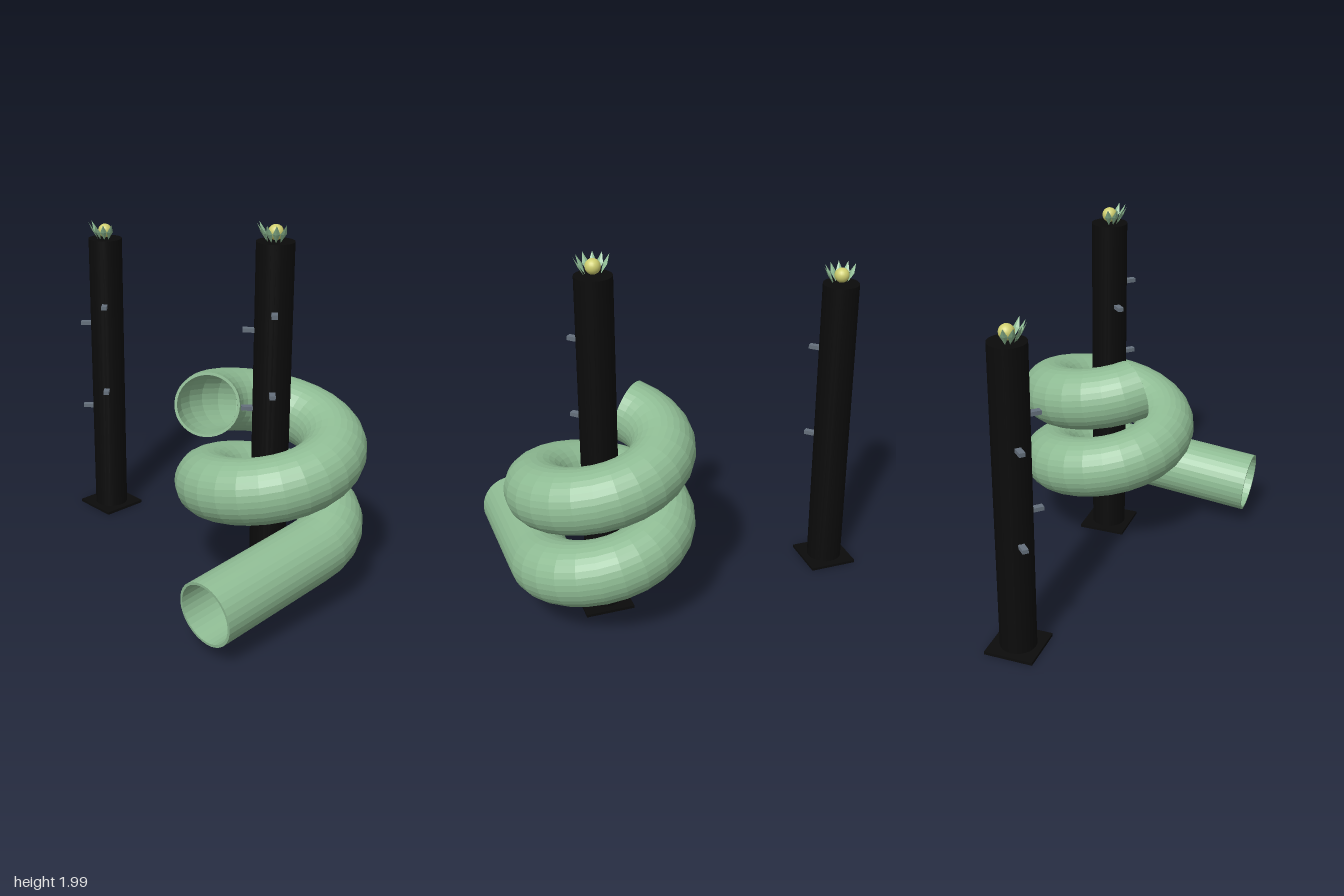
import * as THREE from 'three';

const CX = 0.15, CZ = 0.49, COIL_R = 0.336, TUBE_R = 0.172, WALL = 0.014;
const STRAIGHT = 0.795, TURN = THREE.MathUtils.degToRad(585), PITCH = 0.432;

// Straight run along the front, then a rising coil around the pole
class SlidePath extends THREE.Curve {
  getPoint(t, target = new THREE.Vector3()) {
    const s = t * (STRAIGHT + TURN * COIL_R) - STRAIGHT;
    if (s < 0) return target.set(CX + s, 0.325 + s * 0.095, CZ + COIL_R);
    const a = s / COIL_R;
    return target.set(CX + COIL_R * Math.sin(a), 0.325 + PITCH * a / (Math.PI * 2), CZ + COIL_R * Math.cos(a));
  }
}

export function createModel() {
  const green = new THREE.MeshStandardMaterial({ color: 0x8fbc94, side: THREE.DoubleSide, flatShading: true });
  green.name = 'soft green';
  const black = new THREE.MeshStandardMaterial({ color: 0x0b0b0b });
  black.name = 'black';
  const grey = new THREE.MeshStandardMaterial({ color: 0x65707c });
  grey.name = 'slate grey';
  const yellow = new THREE.MeshStandardMaterial({ color: 0xcfcf70 });
  yellow.name = 'pale yellow';

  const model = new THREE.Group();
  model.name = 'spiralSlide';
  const add = (parent, name, geometry, material, x = 0, y = 0, z = 0) => {
    const mesh = new THREE.Mesh(geometry, material);
    mesh.name = name;
    mesh.position.set(x, y, z);
    parent.add(mesh);
    return mesh;
  };

  // Hollow tube slide with a rim at each open end
  const path = new SlidePath();
  const slide = new THREE.Group();
  slide.name = 'slide';
  model.add(slide);
  add(slide, 'slideOuter', new THREE.TubeGeometry(path, 52, TUBE_R, 32), green);
  add(slide, 'slideInner', new THREE.TubeGeometry(path, 52, TUBE_R - WALL, 32), green);
  for (const t of [0, 1]) {
    const p = path.getPointAt(t);
    const rim = add(slide, 'slideRim', new THREE.RingGeometry(TUBE_R - WALL, TUBE_R, 32), green, p.x, p.y, p.z);
    rim.lookAt(p.clone().addScaledVector(path.getTangentAt(t), t ? 1 : -1));
  }

  // Pointed leaf: flattened diamond with its base at the origin
  const leafGeometry = new THREE.OctahedronGeometry(1);
  leafGeometry.scale(0.005, 0.055, 0.019);
  leafGeometry.translate(0, 0.052, 0);

  // Pole with foot plate, step pegs and a flower on top; pegs are [height, side of z]
  const addPole = (name, z, height, pegs) => {
    const pole = new THREE.Group();
    pole.name = name;
    pole.position.set(0.148, 0, z);
    model.add(pole);
    add(pole, 'footPlate', new THREE.BoxGeometry(0.27, 0.016, 0.27), black, 0, 0.008, 0);
    add(pole, 'post', new THREE.CylinderGeometry(0.098, 0.098, height, 24), black, 0, height / 2, 0);
    for (const [y, side] of pegs) {
      const peg = add(pole, 'peg', new THREE.BoxGeometry(0.1, 0.022, 0.032), grey, -0.075, y, side * 0.075);
      peg.rotation.y = side * Math.PI / 4;
    }
    const flower = new THREE.Group();
    flower.name = 'flower';
    flower.position.y = height;
    pole.add(flower);
    add(flower, 'flowerCentre', new THREE.SphereGeometry(0.04, 20, 14), yellow, 0, 0.045, 0);
    for (const degrees of [-75, -45, -15, 15, 45, 75]) {
      const fan = new THREE.Group();
      fan.name = 'leafArm';
      fan.rotation.y = THREE.MathUtils.degToRad(degrees);
      flower.add(fan);
      add(fan, 'leaf', leafGeometry, green, -0.045, 0, 0).rotation.z = 0.5;
    }
  };
  addPole('frontPole', CZ, 1.9, [[1.55, 1], [1.44, -1], [1.125, 1], [1.015, -1]]);
  addPole('rearPole', -0.865, 1.7, [[1.315, 1], [1.185, -1], [0.79, 1], [0.657, -1]]);

  return model;
}
